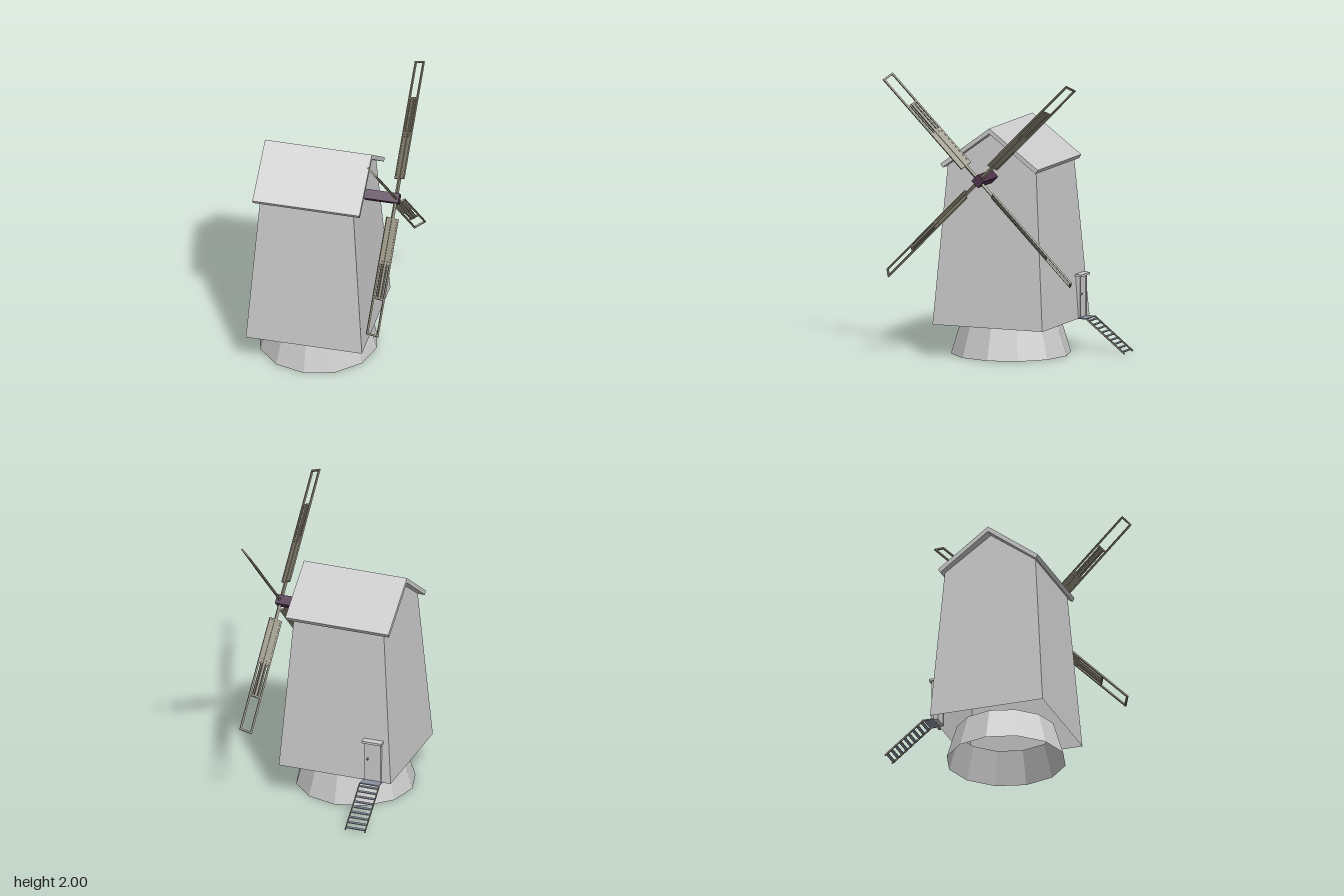
import * as THREE from 'three';

const CX = -0.09, CZ = 0.03; // centre of the tower

const mat = (color, double = false) => new THREE.MeshStandardMaterial({
  color, flatShading: true, side: double ? THREE.DoubleSide : THREE.FrontSide,
});
const grey = mat(0xcccccc);
const greyOpen = mat(0xcccccc, true);
const wood = mat(0x858170);
const shaftColor = mat(0x50344c);
const stepColor = mat(0x8b90a0);

function add(parent, name, geometry, material, x = 0, y = 0, z = 0) {
  const mesh = new THREE.Mesh(geometry, material);
  mesh.name = name;
  mesh.position.set(x, y, z);
  parent.add(mesh);
  return mesh;
}
const box = (parent, name, m, w, h, d, x, y, z) =>
  add(parent, name, new THREE.BoxGeometry(w, h, d), m, x, y, z);

// Tapered walls with gables at both x ends, open underneath
function wallsGeometry() {
  const half = y => 0.415 - 0.0727 * (y - 0.23);
  const eave = 1.345, ridge = 1.59, foot = 0.23;
  const ring = [[-half(foot), foot], [-half(eave), eave], [0, ridge], [half(eave), eave], [half(foot), foot]];
  const P = ring.map(([z, y]) => [half(y), y, z]);
  const N = ring.map(([z, y]) => [-half(y), y, z]);
  const pos = [];
  const tri = (...corners) => corners.forEach(c => pos.push(...c));
  for (let i = 1; i < 4; i++) {
    tri(P[0], P[i], P[i + 1]);
    tri(N[0], N[i + 1], N[i]);
  }
  for (const i of [0, 3]) {
    tri(P[i], N[i], N[i + 1]);
    tri(P[i], N[i + 1], P[i + 1]);
  }
  const g = new THREE.BufferGeometry();
  g.setAttribute('position', new THREE.Float32BufferAttribute(pos, 3));
  g.computeVertexNormals();
  return g;
}

// Chevron roof extruded along x
function roofGeometry() {
  const s = new THREE.Shape([[0, 1.63], [-0.368, 1.36], [-0.352, 1.333], [0, 1.593], [0.352, 1.333], [0.368, 1.36]]
    .map(p => new THREE.Vector2(...p)));
  return new THREE.ExtrudeGeometry(s, { depth: 0.765, bevelEnabled: false }).rotateY(Math.PI / 2);
}

// One sail: y runs outwards, z across its width
function makeSail() {
  const sail = new THREE.Group();
  sail.name = 'sail';
  const t = 0.012;
  box(sail, 'spar', wood, 0.018, 0.72, 0.018, 0, 0.36, 0);
  for (const s of [-1, 1]) {
    box(sail, 'outerRail', wood, t, 0.84, t, 0, 0.56, s * 0.041);
    box(sail, 'innerRail', wood, t, 0.28, 0.009, 0, 0.58, s * 0.019);
  }
  for (const y of [0.146, 0.716, 0.974]) box(sail, 'crossBar', wood, t, t, 0.094, 0, y, 0);
  box(sail, 'sailPanel', wood, 0.008, 0.33, 0.082, 0, 0.31, 0);
  // pitch of the sail
  sail.rotation.y = 0.91;
  return sail;
}

export function createModel() {
  const model = new THREE.Group();
  model.name = 'windmill';

  // Tower
  add(model, 'base', new THREE.CylinderGeometry(0.348, 0.42, 0.235, 12, 1, true), greyOpen, CX, 0.1175, CZ);
  add(model, 'walls', wallsGeometry(), greyOpen, CX, 0, CZ);
  add(model, 'roof', roofGeometry(), grey, -0.47, 0, CZ);

  // Square shaft standing on its edge
  const shaft = box(model, 'shaft', shaftColor, 0.27, 0.067, 0.067, 0.358, 1.288, CZ);
  shaft.rotation.x = Math.PI / 4;

  // Four sails
  const rotor = new THREE.Group();
  rotor.name = 'rotor';
  rotor.position.set(0.467, 1.288, CZ);
  for (let i = 0; i < 4; i++) {
    const arm = new THREE.Group();
    arm.name = 'sailArm';
    arm.rotation.x = Math.PI / 4 + i * Math.PI / 2;
    arm.add(makeSail());
    rotor.add(arm);
  }
  model.add(rotor);

  // Door with its frame
  const doorX = -0.373;
  box(model, 'door', grey, 0.105, 0.295, 0.04, doorX, 0.378, -0.372);
  for (const s of [-1, 1]) box(model, 'doorPost', grey, 0.012, 0.3, 0.048, doorX + s * 0.056, 0.38, -0.374);
  box(model, 'lintel', grey, 0.145, 0.016, 0.055, doorX, 0.533, -0.387);
  box(model, 'doorHandle', wood, 0.01, 0.012, 0.016, doorX + 0.036, 0.4, -0.396);

  // Stairs down from the landing
  box(model, 'landing', stepColor, 0.14, 0.008, 0.075, doorX, 0.233, -0.417);
  const top = { y: 0.232, z: -0.452 }, end = { y: 0.006, z: -0.738 };
  const dy = top.y - end.y, dz = top.z - end.z;
  for (const s of [-1, 1]) {
    const rail = box(model, 'stringer', wood, 0.006, 0.012, Math.hypot(dy, dz), doorX + s * 0.072,
      (top.y + end.y) / 2, (top.z + end.z) / 2);
    rail.rotation.x = -Math.atan2(dy, dz);
  }
  for (let i = 0; i < 9; i++) {
    const k = (i + 0.5) / 9;
    box(model, 'step', stepColor, 0.14, 0.006, 0.023, doorX, top.y - dy * k, top.z - dz * k);
  }
  return model;
}
